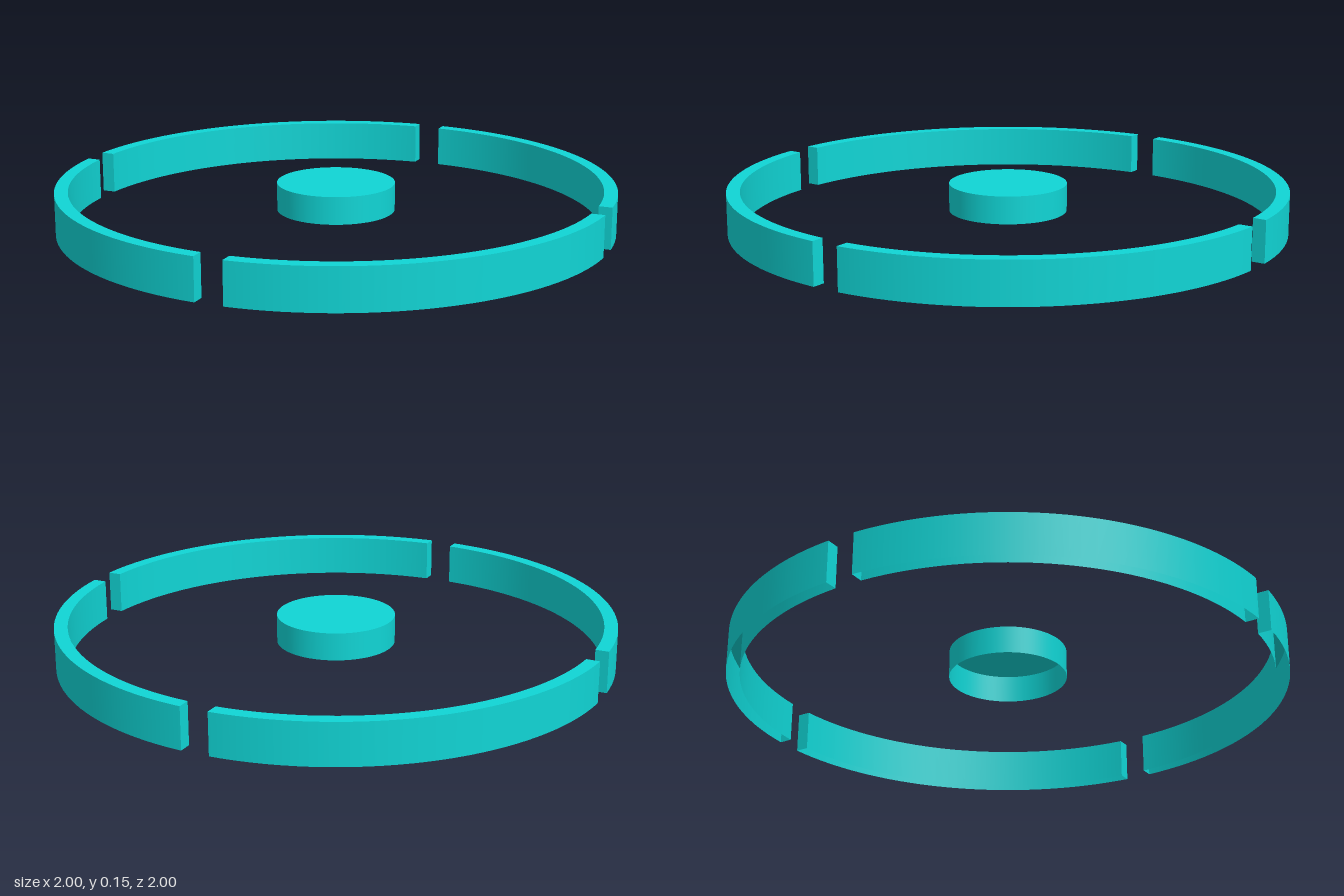
import * as THREE from 'three';

const HEIGHT = 0.15;
const OUTER = 1.0012;
const INNER = 0.953;
const HALF_GAP = 0.05;
const HUB_RADIUS = 0.212;
const HUB_HEIGHT = 0.1;

const material = new THREE.MeshStandardMaterial({ color: 0x10d5d5, side: THREE.DoubleSide });

function addPart(parent, name, geometry, x = 0, y = 0, z = 0) {
  const mesh = new THREE.Mesh(geometry, material);
  mesh.name = name;
  mesh.position.set(x, y, z);
  parent.add(mesh);
  return mesh;
}

// Angle at which a circle meets the straight edge of a gap
const gapAngle = (radius) => Math.asin(HALF_GAP / radius);

// Curved wall of one ring quarter, in the +x, -z quadrant
function wall(radius) {
  const a = gapAngle(radius);
  return new THREE.CylinderGeometry(radius, radius, HEIGHT, 32, 1, true,
    Math.PI / 2 + a, Math.PI / 2 - 2 * a);
}

// One quarter of the ring: a hollow channel, open underneath
function ringQuarter() {
  const quarter = new THREE.Group();
  quarter.name = 'ringQuarter';
  addPart(quarter, 'outerWall', wall(OUTER), 0, HEIGHT / 2, 0);
  addPart(quarter, 'innerWall', wall(INNER), 0, HEIGHT / 2, 0);

  // Flat top rim
  const ao = gapAngle(OUTER);
  const ai = gapAngle(INNER);
  const rim = new THREE.Shape();
  rim.absarc(0, 0, OUTER, ao, Math.PI / 2 - ao, false);
  rim.absarc(0, 0, INNER, Math.PI / 2 - ai, ai, true);
  const rimGeometry = new THREE.ShapeGeometry(rim, 32).rotateX(-Math.PI / 2);
  addPart(quarter, 'topRim', rimGeometry, 0, HEIGHT, 0);

  // End plates, parallel across each gap
  const near = INNER * Math.cos(ai);
  const far = OUTER * Math.cos(ao);
  const plate = new THREE.PlaneGeometry(far - near, HEIGHT);
  const mid = (near + far) / 2;
  addPart(quarter, 'endPlate', plate, mid, HEIGHT / 2, -HALF_GAP);
  addPart(quarter, 'endPlate', plate, HALF_GAP, HEIGHT / 2, -mid).rotation.y = -Math.PI / 2;
  return quarter;
}

export function createModel() {
  const model = new THREE.Group();
  model.name = 'splitRingWithHub';

  // Four quarters with gaps on the axes
  for (let i = 0; i < 4; i++) {
    const quarter = ringQuarter();
    quarter.rotation.y = i * Math.PI / 2;
    model.add(quarter);
  }

  // Raised central cap, open underneath
  const hub = new THREE.Group();
  hub.name = 'hub';
  addPart(hub, 'hubWall',
    new THREE.CylinderGeometry(HUB_RADIUS, HUB_RADIUS, HUB_HEIGHT, 64, 1, true),
    0, HEIGHT - HUB_HEIGHT / 2, 0);
  addPart(hub, 'hubTop',
    new THREE.CircleGeometry(HUB_RADIUS, 64).rotateX(-Math.PI / 2), 0, HEIGHT, 0);
  model.add(hub);

  return model;
}
